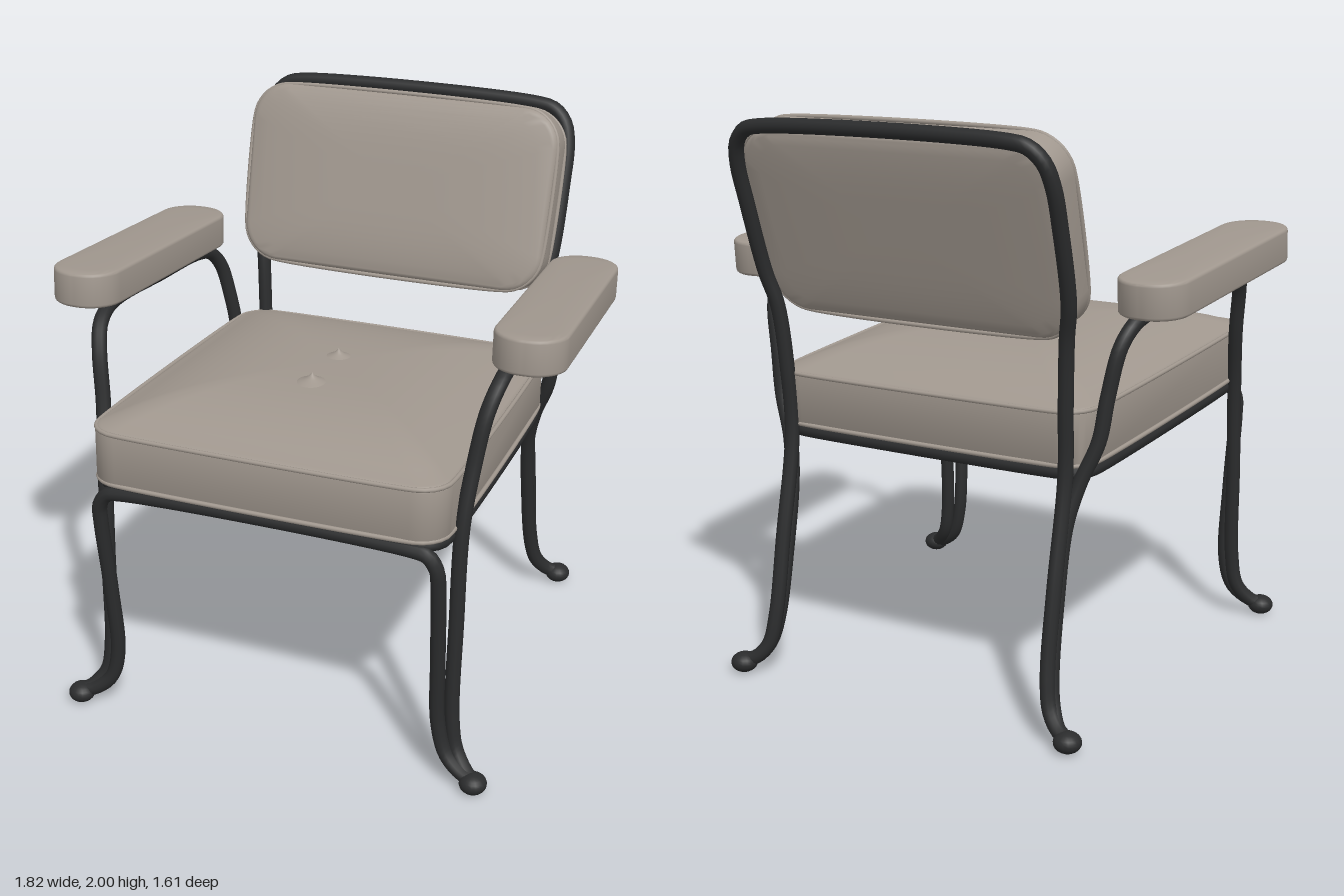
import * as THREE from 'three';
import { toCreasedNormals } from 'three/addons/utils/BufferGeometryUtils.js';

const fabric = new THREE.MeshStandardMaterial({ color: 0xa0978e });
fabric.name = 'taupe upholstery';
const metal = new THREE.MeshStandardMaterial({ color: 0x2b2c2d });
metal.name = 'black metal';

function add(parent, name, geometry, material) {
  const mesh = new THREE.Mesh(geometry, material);
  mesh.name = name;
  parent.add(mesh);
  return mesh;
}

// Smooth tube through [x, y, z] points
function tube(parent, name, points, radius = 0.026, material = metal, closed = false) {
  const curve = new THREE.CatmullRomCurve3(points.map((p) => new THREE.Vector3(...p)), closed, 'centripetal');
  return add(parent, name, new THREE.TubeGeometry(curve, points.length * 8, radius, 10, closed), material);
}

// Continue a half path on the other side of x = 0
const mirrored = (half) => [...half, ...half.map(([x, y, z]) => [-x, y, z]).reverse()];

// Rounded rectangle in x and z, tapered along z
function outline(hw, hd, r, taper = 0, steps = 8) {
  const points = [];
  [[1, 1], [-1, 1], [-1, -1], [1, -1]].forEach(([sx, sz], corner) => {
    for (let i = 0; i <= steps; i++) {
      const a = (corner + i / steps) * Math.PI / 2;
      const z = sz * (hd - r) + r * Math.sin(a);
      points.push([(sx * (hw - r) + r * Math.cos(a)) * (1 + taper * z), z]);
    }
  });
  return points;
}

// Upholstered pad: flat sides, soft edges, domed top and bottom
function cushionGeometry({ hw, hd, r, h, edge, crown, belly = 0, power = 3, taper = 0 }) {
  const rings = [];
  const ring = (inset, scale, y) => rings.push(
    outline(hw - inset, hd - inset, r - inset, taper).map(([x, z]) => [x * scale, y, z * scale]));
  const steps = 12;
  for (let i = 0; i < steps; i++) {
    const s = i / steps;
    ring(edge, s, -belly * (1 - s ** power));
  }
  for (let i = 0; i <= 4; i++) {
    const a = i / 4 * Math.PI / 2;
    ring(edge * (1 - Math.sin(a)), 1, edge * (1 - Math.cos(a)));
  }
  for (let i = 0; i <= 4; i++) {
    const a = i / 4 * Math.PI / 2;
    ring(edge * (1 - Math.cos(a)), 1, h - edge * (1 - Math.sin(a)));
  }
  for (let i = steps - 1; i >= 0; i--) {
    const s = i / steps;
    ring(edge, s, h + crown * (1 - s ** power));
  }
  const n = rings[0].length;
  const index = [];
  for (let i = 0; i < rings.length - 1; i++) {
    for (let j = 0; j < n; j++) {
      const a = i * n + j, b = i * n + (j + 1) % n;
      index.push(a, a + n, b, b, a + n, b + n);
    }
  }
  const geometry = new THREE.BufferGeometry();
  geometry.setAttribute('position', new THREE.Float32BufferAttribute(rings.flat(2), 3));
  geometry.setIndex(index);
  return toCreasedNormals(geometry, 0.7);
}

// Pad with a line of piping at each given height
function cushion(parent, name, options, pipingHeights) {
  const group = new THREE.Group();
  group.name = name;
  add(group, name + 'Pad', cushionGeometry(options), fabric);
  const { hw, hd, r, taper } = options;
  for (const y of pipingHeights) {
    const path = outline(hw - 0.003, hd - 0.003, r, taper, 4).map(([x, z]) => [x, y, z]);
    tube(group, name + 'Piping', path, 0.008, fabric, true);
  }
  parent.add(group);
  return group;
}

export function createModel() {
  const chair = new THREE.Group();
  chair.name = 'armchair';

  // Seat, a little lower at the back
  const seat = cushion(chair, 'seat',
    { hw: 0.622, hd: 0.665, r: 0.11, h: 0.205, edge: 0.02, crown: 0.1, taper: 0.025 }, [0.012, 0.195]);
  seat.position.set(0, 0.915, 0.125);
  seat.rotation.x = -0.045;

  // Two pinched tufts on the seat
  const tuftProfile = [[0.065, -0.006], [0.04, 0.004], [0.022, 0.011], [0.009, 0.021], [0, 0.032]]
    .map(([x, y]) => new THREE.Vector2(x, y));
  for (const z of [-0.055, 0.195]) {
    add(seat, 'seatTuft', new THREE.LatheGeometry(tuftProfile, 20), fabric).position.set(0, 0.302, z);
  }

  // Reclined backrest
  const back = cushion(chair, 'backrest',
    { hw: 0.592, hd: 0.335, r: 0.14, h: 0.145, edge: 0.025, crown: 0.022, belly: 0.012, power: 4, taper: -0.03 },
    [0.015, 0.125]);
  back.position.set(0, 1.63, -0.652);
  back.rotation.x = 1.276;

  // Tube ring below the seat
  const ring = outline(0.6, 0.625, 0.09, 0.025, 4).map(([x, z]) => [x, 0.897 + 0.045 * z, z + 0.115]);
  tube(chair, 'seatFrame', ring, 0.024, metal, true);

  // Front legs and cross bar in one bent tube
  tube(chair, 'frontLegs', mirrored([
    [0.745, 0.04, 0.72], [0.69, 0.06, 0.71], [0.635, 0.11, 0.695], [0.605, 0.22, 0.69], [0.605, 0.5, 0.71],
    [0.61, 0.78, 0.74], [0.605, 0.85, 0.748], [0.575, 0.895, 0.75], [0.52, 0.907, 0.75]]));

  // Rear legs and backrest hoop in one bent tube
  tube(chair, 'rearLegsAndBackFrame', mirrored([
    [0.655, 0.04, -0.72], [0.61, 0.06, -0.705], [0.57, 0.11, -0.685], [0.55, 0.22, -0.665], [0.545, 0.5, -0.615],
    [0.545, 0.86, -0.545], [0.55, 1.1, -0.555], [0.565, 1.33, -0.58], [0.588, 1.45, -0.613], [0.597, 1.7, -0.69],
    [0.595, 1.83, -0.733], [0.575, 1.905, -0.757], [0.53, 1.95, -0.771], [0.46, 1.965, -0.776]]));

  for (const side of [-1, 1]) {
    // Arm support: front leg, arm rail and rear leg
    tube(chair, 'armFrame', [
      [0.745, 0.04, 0.72], [0.71, 0.06, 0.70], [0.665, 0.12, 0.67], [0.645, 0.24, 0.66], [0.645, 0.6, 0.645],
      [0.648, 0.95, 0.62], [0.665, 1.15, 0.575], [0.69, 1.32, 0.535], [0.71, 1.40, 0.48], [0.72, 1.435, 0.38],
      [0.72, 1.41, 0], [0.715, 1.382, -0.3], [0.705, 1.355, -0.39], [0.685, 1.29, -0.44], [0.655, 1.13, -0.465],
      [0.632, 0.98, -0.48], [0.58, 0.84, -0.51], [0.55, 0.7, -0.545], [0.545, 0.45, -0.595], [0.555, 0.2, -0.645],
      [0.575, 0.11, -0.67], [0.61, 0.06, -0.7], [0.655, 0.04, -0.72],
    ].map(([x, y, z]) => [side * x, y, z]));

    // Padded armrest, splayed outward to the front
    const arm = cushion(chair, 'armrest',
      { hw: 0.122, hd: 0.495, r: 0.115, h: 0.122, edge: 0.012, crown: 0.006 }, []);
    arm.position.set(side * 0.777, 1.424, 0.025);
    arm.rotation.set(-0.07, side * 0.03, 0);

    // Rounded feet
    for (const [x, z] of [[0.745, 0.725], [0.655, -0.722]]) {
      const foot = add(chair, 'foot', new THREE.SphereGeometry(0.048, 18, 12), metal);
      foot.scale.y = 0.75;
      foot.position.set(side * x, 0.036, z);
    }
  }
  return chair;
}
